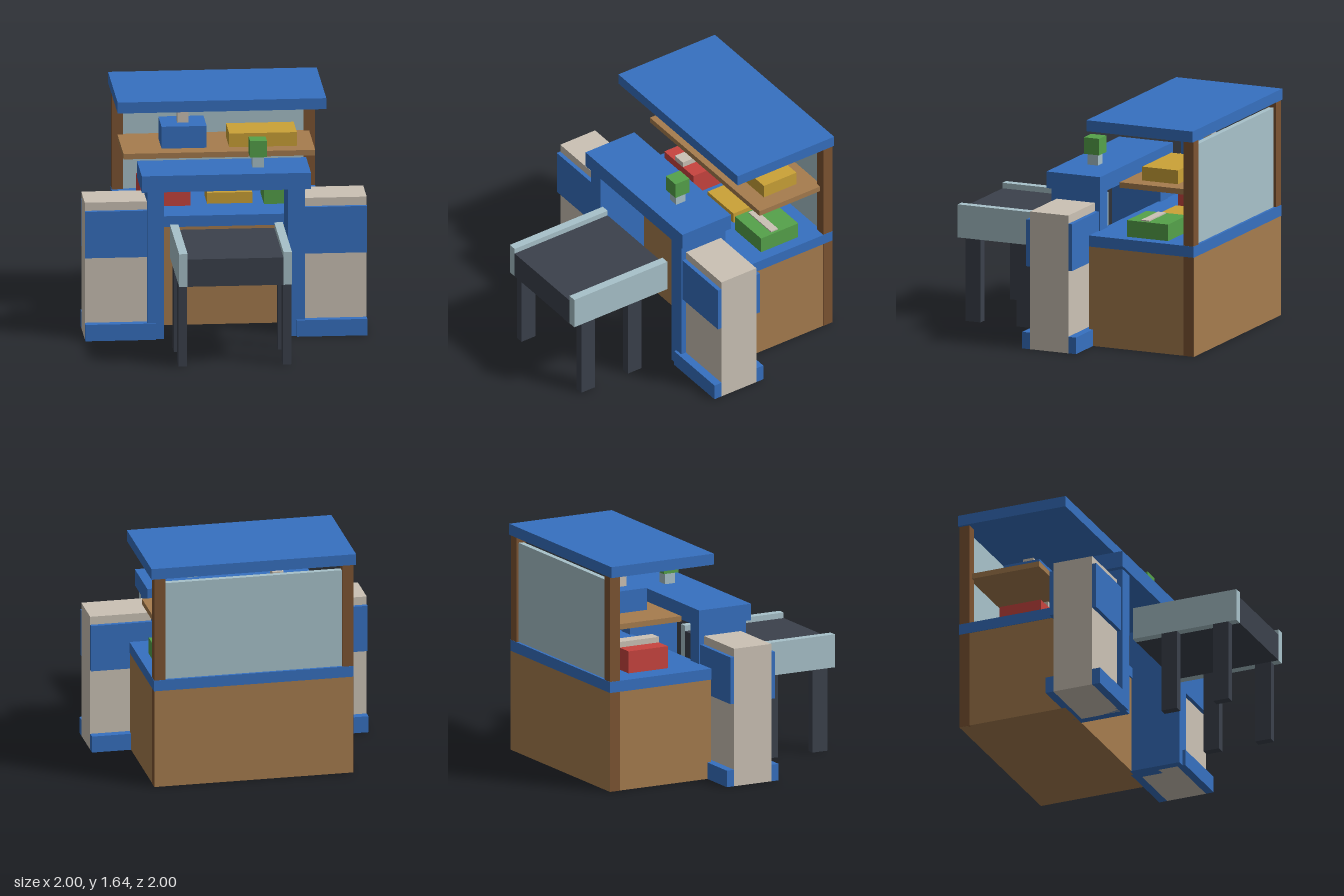
import * as THREE from 'three';

const mat = (name, color) => {
  const m = new THREE.MeshStandardMaterial({ color });
  m.name = name;
  return m;
};

export function createModel() {
  const blue = mat('blue', 0x3670c0), beige = mat('beige', 0xcbc2b5);
  const darkWood = mat('dark wood', 0x7d5432), wood = mat('wood', 0xa67c4e);
  const paleBlue = mat('pale blue', 0xa8c2ca), charcoal = mat('charcoal', 0x3b414c);
  const red = mat('red', 0xc8443f), yellow = mat('yellow', 0xcba237), green = mat('green', 0x55a24a);

  const model = new THREE.Group();
  model.name = 'checkoutStand';

  // Box given by its extents on each axis
  const box = (name, material, [x0, x1], [y0, y1], [z0, z1]) => {
    const mesh = new THREE.Mesh(new THREE.BoxGeometry(x1 - x0, y1 - y0, z1 - z0), material);
    mesh.position.set((x0 + x1) / 2, (y0 + y1) / 2, (z0 + z1) / 2);
    mesh.name = name;
    model.add(mesh);
  };
  // Same box on both sides of the model
  const pair = (name, material, [x0, x1], y, z) => {
    box(name + 'Left', material, [x0, x1], y, z);
    box(name + 'Right', material, [-x1, -x0], y, z);
  };

  // Conveyor
  box('conveyorBelt', charcoal, [-0.34, 0.34], [0.6, 0.8], [0.2, 1]);
  pair('conveyorRail', paleBlue, [0.34, 0.4], [0.6, 0.84], [0.2, 1]);
  for (const [label, z] of [['front', 0.82], ['rear', 0.42]])
    pair(label + 'ConveyorLeg', charcoal, [0.34, 0.4], [0, 0.6], [z, z + 0.12]);

  // Arch
  pair('archPost', blue, [0.44, 0.56], [0, 1.08], [-0.19, 0.19]);
  box('archLintel', blue, [-0.6, 0.6], [1.08, 1.2], [-0.21, 0.21]);

  // Side walls with panels and plinths on both faces
  pair('sideWall', beige, [0.5, 1], [0, 1], [-0.15, 0.15]);
  for (const [label, s] of [['front', 1], ['back', -1]]) {
    const span = (depth) => (s > 0 ? [0.15, depth] : [-depth, -0.15]);
    pair(label + 'Panel', blue, [0.5, 1], [0.6, 0.94], span(0.18));
    pair(label + 'Plinth', blue, [0.5, 1], [0, 0.12], span(0.21));
  }

  // Scanner lamp on the arch
  box('lampStem', paleBlue, [0.2, 0.28], [1.2, 1.28], [-0.04, 0.04]);
  box('lampHead', green, [0.18, 0.3], [1.28, 1.4], [-0.06, 0.06]);

  // Counter
  box('counterBody', wood, [-0.718, 0.718], [0, 0.72], [-1, -0.18]);
  box('counterTop', blue, [-0.722, 0.722], [0.72, 0.8], [-1, -0.17]);

  // Back frame, window, shelf and roof
  pair('roofPost', darkWood, [0.64, 0.72], [0, 1.56], [-0.998, -0.92]);
  box('backWindow', paleBlue, [-0.64, 0.64], [0.8, 1.52], [-0.98, -0.94]);
  box('shelf', wood, [-0.68, 0.68], [1.16, 1.2], [-0.94, -0.4]);
  box('roof', blue, [-0.74, 0.74], [1.56, 1.64], [-1, -0.17]);

  // Goods on the shelf
  box('blueBox', blue, [-0.4, -0.08], [1.2, 1.36], [-0.8, -0.52]);
  box('blueBoxKnob', beige, [-0.28, -0.2], [1.36, 1.44], [-0.7, -0.62]);
  box('longYellowBox', yellow, [0.08, 0.56], [1.2, 1.3], [-0.8, -0.52]);

  // Goods on the counter
  box('redBox', red, [-0.56, -0.2], [0.8, 0.96], [-0.76, -0.44]);
  box('redBoxStrip', beige, [-0.43, -0.33], [0.96, 1], [-0.76, -0.44]);
  box('yellowBox', yellow, [-0.08, 0.24], [0.8, 0.88], [-0.72, -0.48]);
  box('greenBox', green, [0.32, 0.64], [0.8, 0.92], [-0.76, -0.44]);
  box('greenBoxStrip', beige, [0.34, 0.62], [0.92, 0.929], [-0.6, -0.54]);

  return model;
}
